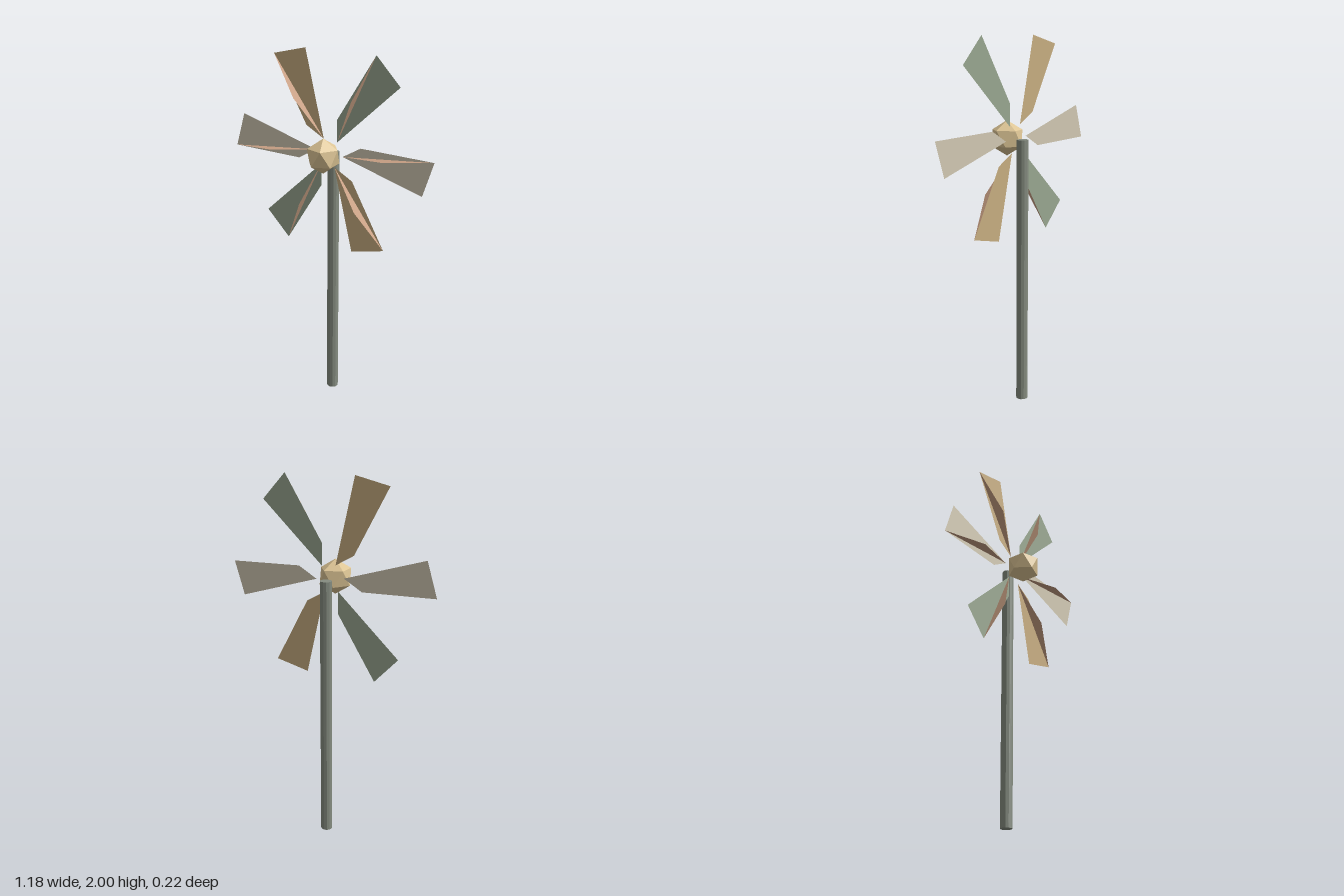
import * as THREE from 'three';

const HUB_Y = 1.467;
const BLADE_Z = -0.035;

function material(color, side = THREE.FrontSide) {
  return new THREE.MeshStandardMaterial({ color, side, flatShading: true });
}

// Flat polygon surface made as a fan around its first corner
function sheet(name, corners, color) {
  const points = [];
  for (let i = 1; i < corners.length - 1; i++) {
    points.push(...corners[0], ...corners[i], ...corners[i + 1]);
  }
  const geometry = new THREE.BufferGeometry();
  geometry.setAttribute('position', new THREE.Float32BufferAttribute(points, 3));
  geometry.computeVertexNormals();
  const mesh = new THREE.Mesh(geometry, material(color, THREE.DoubleSide));
  mesh.name = name;
  return mesh;
}

// One blade pointing along +x: a flat vane with an upright rib on its diagonal
function createBlade(color) {
  const root = [0.08, -0.009, 0];
  const outerTip = [0.535, -0.148, 0];
  const innerTip = [0.592, 0.039, 0];
  const notch = [0.185, 0.052, 0];
  const ribPeak = [0.336, 0.015, 0.058];

  const blade = new THREE.Group();
  blade.name = 'blade';
  blade.add(sheet('vane', [root, outerTip, innerTip, notch], color));
  blade.add(sheet('rib', [root, innerTip, ribPeak], 0xc9a084));
  return blade;
}

export function createModel() {
  const model = new THREE.Group();
  model.name = 'pinwheel';

  // Pole standing behind the wheel
  const pole = new THREE.Mesh(
    new THREE.CylinderGeometry(0.032, 0.032, 1.465, 12),
    material(0x858c80)
  );
  pole.name = 'pole';
  pole.position.set(0, 1.465 / 2, -0.081);
  model.add(pole);

  // Faceted hub, turned so that one corner points straight up
  const hubGeometry = new THREE.IcosahedronGeometry(0.095, 0);
  hubGeometry.rotateZ(-Math.atan(2 / (1 + Math.sqrt(5))));
  const hub = new THREE.Mesh(hubGeometry, material(0xdcc494));
  hub.name = 'hub';
  hub.position.set(0, HUB_Y, 0.028);
  model.add(hub);

  // Six blades in three repeating colours
  const colors = [0xd3cab4, 0x9aa891, 0xc9af82];
  const wheel = new THREE.Group();
  wheel.name = 'wheel';
  wheel.position.set(0, HUB_Y, BLADE_Z);
  for (let i = 0; i < 6; i++) {
    const blade = createBlade(colors[i % 3]);
    blade.rotation.z = (i * Math.PI) / 3;
    wheel.add(blade);
  }
  model.add(wheel);

  return model;
}
